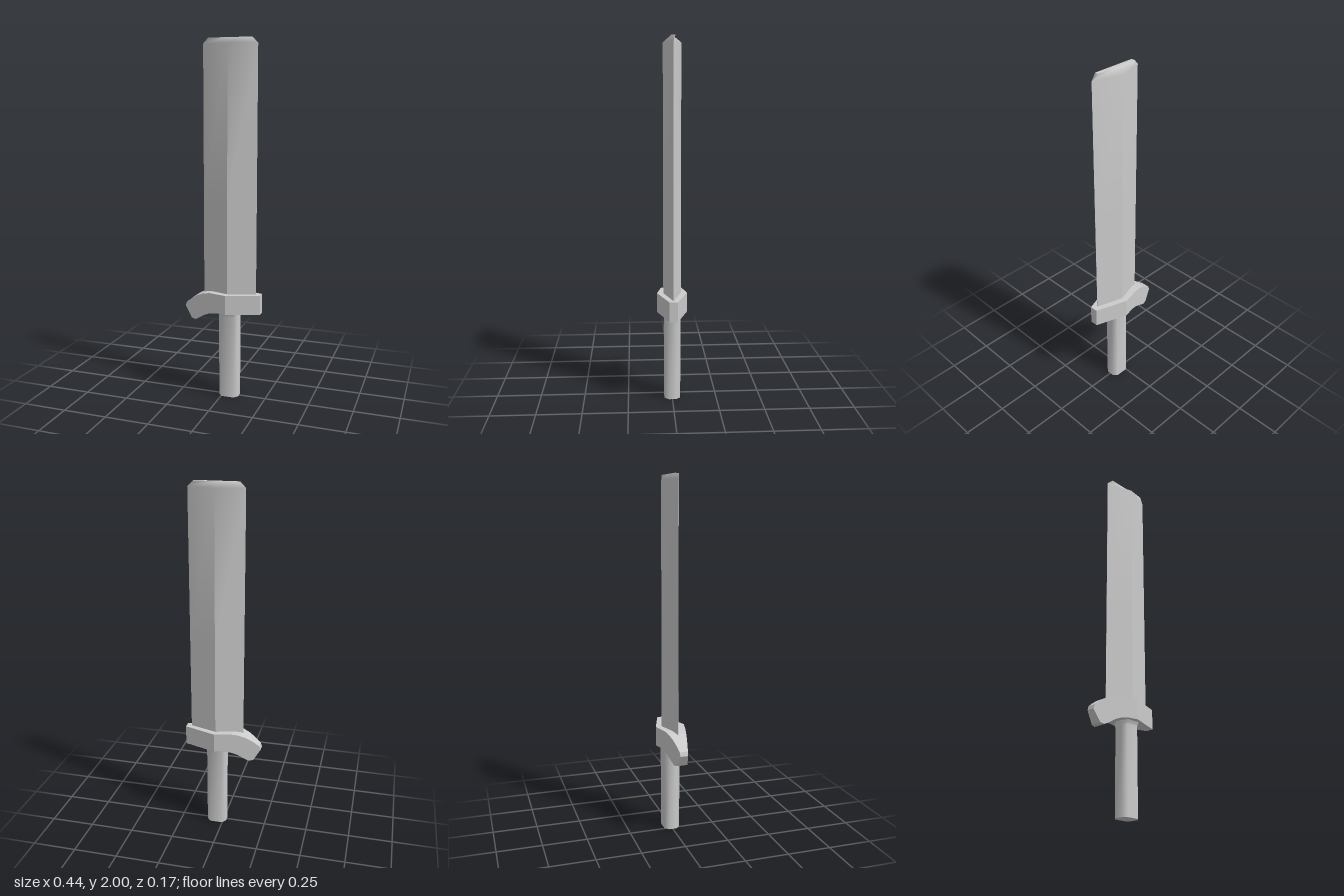
import * as THREE from 'three';

const material = new THREE.MeshStandardMaterial({ color: 0xcccccc });

// Skins equal-sized rings into a capped solid. Rings run counter-clockwise
// seen from the end. Side corners where soft(point) is true get shared normals.
function loft(name, rings, soft) {
  const n = rings[0].length;
  const points = rings.flat();
  const sides = [];
  for (let r = 0; r < rings.length - 1; r++) {
    for (let i = 0; i < n; i++) {
      const a = r * n + i, b = r * n + (i + 1) % n;
      sides.push(a, b, b + n, a, b + n, a + n);
    }
  }
  const caps = [];
  const end = (rings.length - 1) * n;
  for (let i = 1; i < n - 1; i++) {
    caps.push(0, i + 1, i, end, end + i, end + i + 1);
  }

  const shared = new THREE.BufferGeometry();
  shared.setAttribute('position', new THREE.Float32BufferAttribute(points.flat(), 3));
  shared.setIndex(sides);
  shared.computeVertexNormals();
  const smooth = shared.getAttribute('normal');

  const geometry = new THREE.BufferGeometry();
  const corners = [...sides, ...caps].flatMap((i) => points[i]);
  geometry.setAttribute('position', new THREE.Float32BufferAttribute(corners, 3));
  geometry.computeVertexNormals();
  const normal = geometry.getAttribute('normal');
  sides.forEach((p, k) => {
    if (soft(points[p])) normal.setXYZ(k, smooth.getX(p), smooth.getY(p), smooth.getZ(p));
  });

  const mesh = new THREE.Mesh(geometry, material);
  mesh.name = name;
  return mesh;
}

const CENTRE = 0.038;

// Diamond section blade, hard ridge below fading to soft near the bevelled tip
function makeBlade() {
  const ring = (y, left, right, edge, ridge) => [
    [right, y, edge], [right, y, -edge], [CENTRE, y, -ridge],
    [left, y, -edge], [left, y, edge], [CENTRE, y, ridge],
  ];
  return loft('blade', [
    ring(0.58, -0.115, 0.191, 0.0005, 0.049),
    ring(1.13, -0.115, 0.191, 0.0005, 0.049),
    ring(1.97, -0.115, 0.191, 0.0005, 0.049),
    ring(2.0, -0.083, 0.158, 0.011, 0.011),
  ], (p) => p[1] > 1.9);
}

// Guard: straight on one side, drooping on the other, thickest at the middle
function makeGuard() {
  const depth = (x) => {
    const reach = x > CENTRE ? 0.22 - CENTRE : 0.22 + CENTRE;
    return 0.084 - 0.062 * Math.min(1, Math.abs(x - CENTRE) / reach);
  };
  // top x, top y, bottom x, bottom y
  const sections = [
    [0.22, 0.61, 0.22, 0.5],
    [CENTRE, 0.61, CENTRE, 0.5],
    [-0.06, 0.61, -0.02, 0.5],
    [-0.1, 0.603, -0.06, 0.493],
    [-0.145, 0.585, -0.095, 0.478],
    [-0.18, 0.562, -0.125, 0.459],
    [-0.214, 0.535, -0.155, 0.442],
    [-0.221, 0.512, -0.181, 0.446],
  ];
  const rings = sections.map(([tx, ty, bx, by]) => [
    [bx, by, depth(bx)], [tx, ty, depth(tx)],
    [tx, ty, -depth(tx)], [bx, by, -depth(bx)],
  ]);
  return loft('guard', rings, () => false);
}

// Flattened eight-sided grip, flaring front and back where it meets the guard
function makeGrip() {
  const ring = (y, z) => [
    [0.057, 0.02], [0.057, -0.02], [0.036, -z], [-0.036, -z],
    [-0.057, -0.02], [-0.057, 0.02], [-0.036, z], [0.036, z],
  ].map(([x, d]) => [CENTRE + x, y, d]);
  return loft('grip', [
    ring(0, 0.045), ring(0.475, 0.045), ring(0.49, 0.05), ring(0.51, 0.06),
  ], () => true);
}

export function createModel() {
  const group = new THREE.Group();
  group.name = 'sword';
  group.add(makeBlade(), makeGuard(), makeGrip());
  return group;
}
